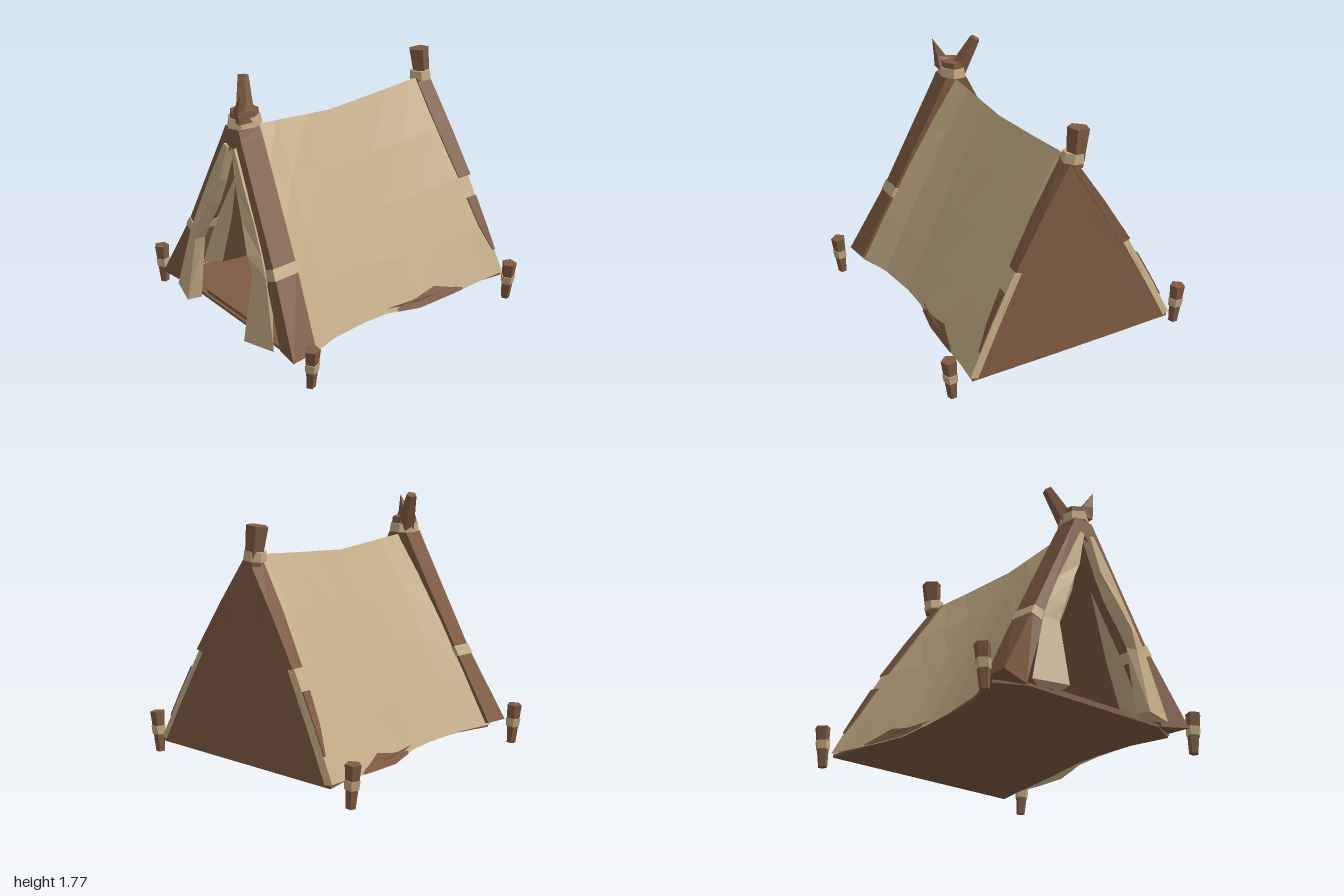
import * as THREE from 'three';

const material = (name, color, side = THREE.FrontSide) => {
  const m = new THREE.MeshStandardMaterial({ color, side });
  m.name = name;
  return m;
};

// Faceted geometry from points and triangle indices
function faceted(points, index) {
  const g = new THREE.BufferGeometry();
  g.setAttribute('position', new THREE.Float32BufferAttribute(points.flat(), 3));
  g.setIndex(index);
  const flat = g.toNonIndexed();
  flat.computeVertexNormals();
  return flat;
}

// Closed solid through equal-length loops of points, always wound outward
function loft(sections) {
  const n = sections[0].length, pts = sections.flat(), idx = [];
  for (let i = 0; i < sections.length - 1; i++)
    for (let j = 0; j < n; j++) {
      const a = i * n + j, b = i * n + (j + 1) % n;
      idx.push(a, b, a + n, b, b + n, a + n);
    }
  const last = (sections.length - 1) * n;
  for (let j = 1; j < n - 1; j++) {
    idx.push(0, j + 1, j);
    idx.push(last, last + j, last + j + 1);
  }
  let volume = 0;
  const v = pts.map((p) => new THREE.Vector3(...p));
  for (let k = 0; k < idx.length; k += 3)
    volume += v[idx[k]].dot(v[idx[k + 1]].clone().cross(v[idx[k + 2]]));
  return faceted(pts, volume < 0 ? idx.reverse() : idx);
}

// Open sheet from rows of points
function sheet(rows) {
  const n = rows[0].length, idx = [];
  for (let i = 0; i < rows.length - 1; i++)
    for (let j = 0; j < n - 1; j++) {
      const a = i * n + j, b = a + 1, c = a + n, d = c + 1;
      idx.push(a, c, b, b, c, d);
    }
  return faceted(rows.flat(), idx);
}

// Tapered stick between two points
function stick(a, b, ra, rb, sides = 5) {
  const A = new THREE.Vector3(...a), B = new THREE.Vector3(...b), d = B.clone().sub(A);
  const g = new THREE.CylinderGeometry(rb, ra, d.length(), sides).toNonIndexed();
  g.applyQuaternion(new THREE.Quaternion().setFromUnitVectors(new THREE.Vector3(0, 1, 0), d.normalize()));
  g.translate(...A.add(B).multiplyScalar(0.5).toArray());
  g.computeVertexNormals();
  return g;
}

// Mirror a geometry in x, keeping faces outward
function mirrorX(geo) {
  const p = geo.attributes.position, pts = [], idx = [];
  for (let i = 0; i < p.count; i++) pts.push([-p.getX(i), p.getY(i), p.getZ(i)]);
  for (let i = 0; i < p.count; i += 3) idx.push(i, i + 2, i + 1);
  return faceted(pts, idx);
}

const mix = (a, b, t) => a + (b - a) * t;
const mixSection = (s, r, t) => s.map((p, i) => p.map((v, k) => mix(v, r[i][k], t)));

// Canvas stations: zTop, zBottom, ridge height, half width, hem height, bulge
const stations = [
  [0.66, 0.76, 1.46, 0.76, 0.13, 0.05],
  [0.45, 0.5, 1.445, 0.68, 0.12, 0.025],
  [0.2, 0.2, 1.425, 0.645, 0.11, 0.01],
  [0, 0, 1.41, 0.645, 0.1, 0.01],
  [-0.25, -0.25, 1.425, 0.69, 0.07, 0.0],
  [-0.5, -0.52, 1.44, 0.72, 0.09, 0.02],
  [-0.75, -0.8, 1.46, 0.75, 0.12, 0.04],
  [-0.9, -0.985, 1.46, 0.78, 0.14, 0.05],
  [-0.91, -0.998, 1.44, 0.73, 0.13, 0.03],
];
function canvasPoint(u, t, off = 0) {
  const i = Math.min(Math.floor(u), stations.length - 2);
  const [zt, zb, ridge, w, hem, bulge] = stations[i].map((v, k) => mix(v, stations[i + 1][k], u - i));
  return [w * (t + bulge * Math.sin(Math.PI * t)) + off, mix(ridge, hem, t) + off * 0.5, mix(zt, zb, t)];
}

export function createModel() {
  const tent = new THREE.Group();
  tent.name = 'tent';
  const wood = material('brown wood', 0x7e5a43);
  const hide = material('brown cloth', 0x7e5a43, THREE.DoubleSide);
  const cloth = material('tan canvas', 0xc4ac86, THREE.DoubleSide);
  const add = (name, geo, mat) => {
    const m = new THREE.Mesh(geo, mat);
    m.name = name;
    tent.add(m);
  };
  const pair = (name, geo, mat) => {
    add(name + 'Left', geo, mat);
    add(name + 'Right', mirrorX(geo), mat);
  };

  // Canvas roof and brown hem patches
  pair('roof', sheet(stations.map((s, u) => [0, 0.25, 0.5, 0.75, 1].map((t) => canvasPoint(u, t)))), cloth);
  pair('hemPatch', sheet([[3.3, 0.985], [4, 0.95], [4.6, 0.93], [5, 0.96], [5.4, 0.99]].map(([u, t]) =>
    [canvasPoint(u, t, 0.006), canvasPoint(u, 1, 0.006)])), hide);

  // Brown inner lining: drops behind the doorway, then runs back down both walls
  pair('lining', sheet([
    [[0, 1.38, 0.76], [0.08, 1.22, 0.76], [0.17, 1.08, 0.66], [0.4, 0.62, 0.56], [0.64, 0.13, 0.5]],
    [[0, 1.19, 0.5], [0.08, 1.11, 0.5], [0.2, 0.98, 0.45], [0.37, 0.62, 0.4], [0.61, 0.13, 0.35]],
    [[0, 1.18, 0], [0.08, 1.1, 0], [0.19, 0.98, 0], [0.36, 0.62, 0], [0.6, 0.13, 0]],
    [[0, 1.19, -0.9], [0.08, 1.11, -0.91], [0.2, 0.98, -0.92], [0.42, 0.62, -0.95], [0.69, 0.13, -0.98]],
  ]), hide);

  // Front poles with a cloth lashing halfway down
  const tip = [[0.075, 1.475, 0.8], [0.075, 1.475, 0.635], [-0.002, 1.475, 0.635], [-0.002, 1.475, 0.8]];
  const top = [[0.105, 1.41, 0.805], [0.105, 1.42, 0.635], [0, 1.4, 0.635], [0, 1.355, 0.81]];
  const middle = [[0.495, 0.65, 0.85], [0.505, 0.66, 0.68], [0.42, 0.62, 0.68], [0.415, 0.61, 0.865]];
  const foot = [[0.78, 0.14, 0.92], [0.77, 0.15, 0.725], [0.6, 0.12, 0.73], [0.57, 0.115, 0.87]];
  pair('frontPole', loft([tip, top, middle, foot]), wood);
  const grow = (s) => {
    const c = [0, 1, 2].map((k) => s.reduce((sum, p) => sum + p[k], 0) / s.length);
    return s.map((p) => p.map((v, k) => c[k] + (v - c[k]) * 1.08));
  };
  pair('poleLashing', loft([grow(mixSection(middle, top, 0.03)), grow(mixSection(middle, foot, 0.09))]), cloth);

  // Folded-back door flaps
  pair('doorFlap', loft([
    [[0.06, 1.36, 0.83], [0.025, 1.35, 0.83], [0.005, 1.33, 0.78], [0.05, 1.36, 0.77]],
    [[0.2, 1.1, 0.85], [0.095, 1.09, 0.85], [0.08, 1.08, 0.8], [0.18, 1.1, 0.78]],
    [[0.29, 0.93, 0.855], [0.19, 0.92, 0.88], [0.14, 0.9, 0.82], [0.26, 0.93, 0.79]],
    [[0.39, 0.72, 0.87], [0.29, 0.72, 0.915], [0.24, 0.7, 0.85], [0.37, 0.72, 0.8]],
    [[0.44, 0.6, 0.88], [0.335, 0.58, 0.91], [0.29, 0.6, 0.86], [0.42, 0.6, 0.81]],
    [[0.575, 0.13, 0.925], [0.34, 0.125, 0.995], [0.31, 0.13, 0.9], [0.45, 0.13, 0.84]],
  ]), cloth);

  // Rear wall
  const wallRow = (y, w, z, belly) => [-w, -w * 0.4, w * 0.4, w].map((x, i) => [x, y, z + (i % 3 ? belly : 0)]);
  add('rearWall', sheet([
    wallRow(1.45, 0.015, -0.905, 0), wallRow(1, 0.29, -0.935, 0.005),
    wallRow(0.55, 0.53, -0.967, 0.005), wallRow(0.12, 0.74, -0.995, -0.005),
  ]), hide);

  // Rear poles: the upper part wraps round the corner, the lower part lies on the canvas
  const rear = (t, inner) => [
    canvasPoint(7, t, 0.007), canvasPoint(inner, t, 0.007), canvasPoint(inner, t, -0.03), canvasPoint(7, t, -0.03)];
  const corner = (t, inner) => {
    const [x, y, z] = canvasPoint(8, t);
    const [edge, front, frontIn] = rear(t, inner);
    return [[x - 0.02, y, z - 0.008], [edge[0], edge[1], z - 0.008], front, frontIn];
  };
  pair('rearPoleUpper', loft([corner(0.0, 6.3), corner(0.25, 6.35), corner(0.5, 6.5)]), wood);
  pair('rearPoleLower', loft([rear(0.6, 6.55), rear(0.75, 6.65), rear(0.88, 6.9)]), wood);

  // Ground sheet and door sill
  const edge = stations.slice(0, 8).map(([, z, , w]) => [w - 0.015, z]);
  edge.unshift([0.55, 0.86]);
  const outline = [...edge, ...edge.map(([x, z]) => [-x, z]).reverse()];
  const floor = new THREE.ExtrudeGeometry(
    new THREE.Shape(outline.map(([x, z]) => new THREE.Vector2(x, -z))), { depth: 0.02, bevelEnabled: false });
  floor.rotateX(-Math.PI / 2).translate(0, 0.11, 0);
  add('groundSheet', floor, wood);
  add('doorSill', new THREE.BoxGeometry(0.66, 0.045, 0.06).translate(0, 0.135, 0.81), wood);

  // Crossed pole tops and their lashings
  const ring = (x, y, z, rx, rz, h, tilt) => {
    const g = new THREE.CylinderGeometry(0.92, 1, h, 7).toNonIndexed();
    g.scale(rx, 1, rz).rotateZ(tilt).translate(x, y, z);
    g.computeVertexNormals();
    return g;
  };
  add('frontLashing', ring(-0.005, 1.51, 0.7, 0.1, 0.125, 0.065, 0.04), cloth);
  add('frontPoleStub', ring(-0.005, 1.555, 0.7, 0.086, 0.108, 0.06, 0), wood);
  add('frontPoleTip', stick([-0.03, 1.5, 0.68], [-0.145, 1.755, 0.605], 0.07, 0.038), wood);
  add('frontPoleSplinter', loft([
    [[0.085, 1.52, 0.8], [0.09, 1.52, 0.7], [-0.04, 1.52, 0.66], [-0.07, 1.52, 0.78]],
    [[0.085, 1.61, 0.81], [0.085, 1.61, 0.75], [0.02, 1.6, 0.73], [0.01, 1.6, 0.79]],
    [[0.102, 1.73, 0.795], [0.1, 1.73, 0.79], [0.097, 1.725, 0.79], [0.098, 1.725, 0.795]],
  ]), wood);
  add('rearPoleTip', stick([-0.03, 1.4, -0.885], [-0.06, 1.655, -0.87], 0.055, 0.075), wood);
  add('rearLashing', ring(-0.03, 1.465, -0.87, 0.082, 0.075, 0.065, 0.1), cloth);

  // Four ground pegs with tan bindings
  for (const [end, z] of [['front', 0.86], ['rear', -0.925]]) {
    pair(end + 'Peg', stick([0.877, 0, z], [0.897, 0.285, z], 0.032, 0.054), wood);
    pair(end + 'PegBinding', stick([0.885, 0.125, z], [0.89, 0.185, z], 0.048, 0.053), cloth);
  }
  return tent;
}
